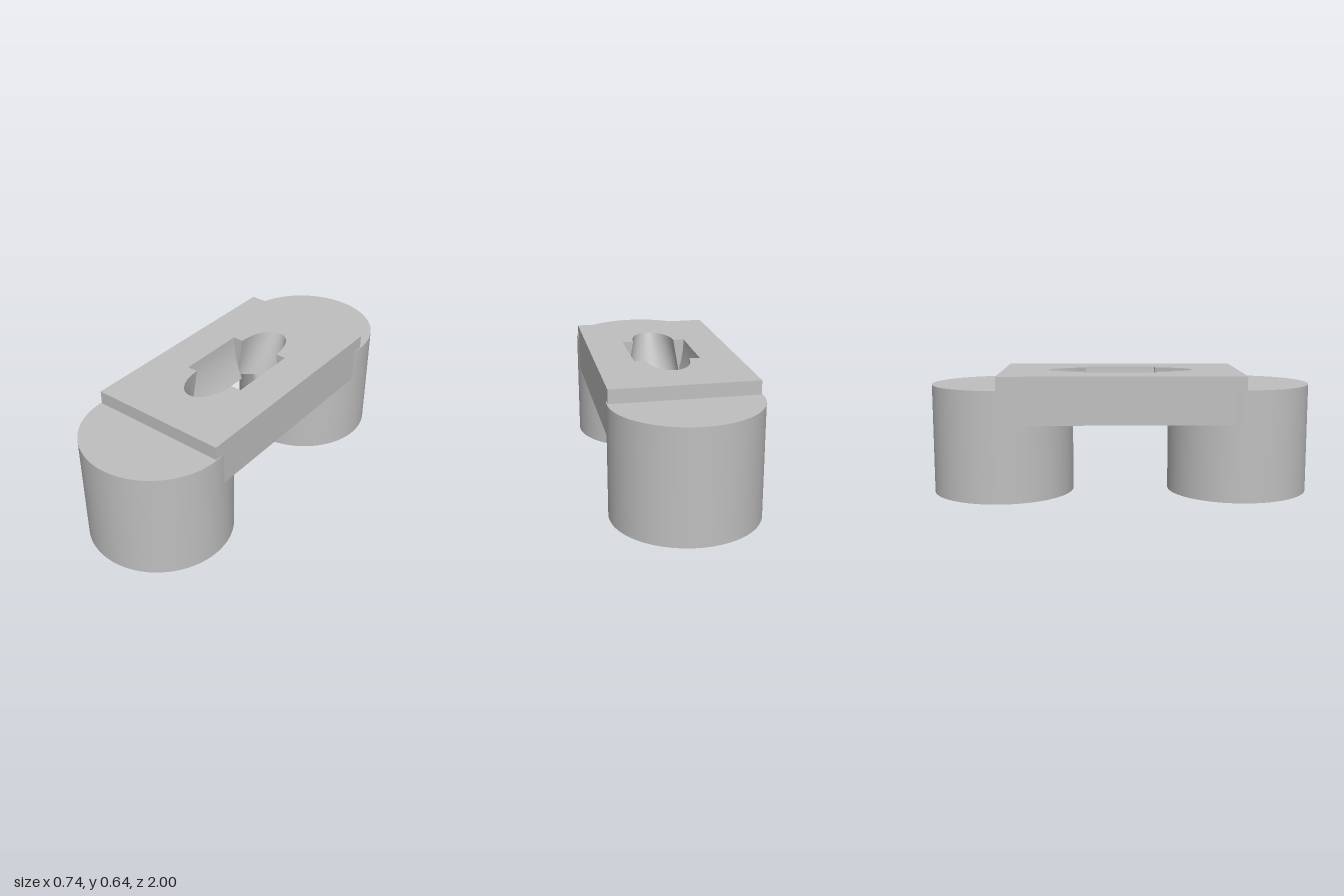
import * as THREE from 'three';
import { toCreasedNormals } from 'three/addons/utils/BufferGeometryUtils.js';

const BASE = 0.4, TOP = 0.645;          // underside and top of the bridge plate
const R = 0.372, CZ = 0.628, TOWER = 0.575;
const POCKET_Z = 0.19;

const mix = (a, b, t) => a + (b - a) * t;

// Skin between rings of [x, z] points stacked at given heights
function loft(rings, heights) {
  const pos = [];
  for (let k = 0; k < rings.length - 1; k++) {
    const lo = rings[k], hi = rings[k + 1], n = lo.length;
    for (let i = 0; i < n; i++) {
      const j = (i + 1) % n;
      const a = [lo[i][0], heights[k], lo[i][1]], b = [lo[j][0], heights[k], lo[j][1]];
      const d = [hi[i][0], heights[k + 1], hi[i][1]], c = [hi[j][0], heights[k + 1], hi[j][1]];
      pos.push(...a, ...d, ...b, ...b, ...d, ...c);
    }
  }
  const g = new THREE.BufferGeometry();
  g.setAttribute('position', new THREE.Float32BufferAttribute(pos, 3));
  return toCreasedNormals(g, 0.5);
}

// Slanted, rounded end of the opening; it moves inward and widens downward
function groove(y) {
  const t = (y - 0.33) / (TOP - 0.33);
  return { end: mix(0.256, 0.38, t), w: mix(0.165, 0.112, t) };
}
function grooveZ(x, y) {
  const { end, w } = groove(y);
  if (Math.abs(x) >= w) return -Infinity;
  return mix(POCKET_Z, end, Math.sqrt(1 - (x / w) ** 2));
}

// Outline of the opening through the plate at one height
function openingRing(y) {
  const t = (TOP - y) / (TOP - BASE);
  const p = 0.17 - 0.055 * t * t;
  const { w, end } = groove(y);
  const half = [[p, -POCKET_Z], [p, POCKET_Z]];
  for (let i = 0; i <= 24; i++) {
    const a = Math.PI * i / 24;
    half.push([w * Math.cos(a), POCKET_Z + (end - POCKET_Z) * Math.sin(a)]);
  }
  return [...half, ...half.map(([x, z]) => [-x, -z])];
}

// Outline of a tower at one height, notched by the groove and trimmed inside the plate
function towerRing(y) {
  const ring = [], n = 192;
  for (let i = 0; i < n; i++) {
    const a = 2 * Math.PI * i / n;
    const x = R * Math.cos(a);
    let z = CZ + R * Math.sin(a);
    if (y > BASE) z = Math.max(z, 0.42);
    else if (y > 0.33 && z < CZ) z = Math.max(z, grooveZ(x, y));
    ring.push([x, z]);
  }
  return ring;
}

const toShape = (ring) => new THREE.Shape(ring.map(([x, z]) => new THREE.Vector2(x, -z)));

export function createModel() {
  const model = new THREE.Group();
  const grey = new THREE.MeshStandardMaterial({ color: 0xbfbfbf });
  grey.name = 'lightGrey';
  const add = (parent, name, geometry) => {
    const mesh = new THREE.Mesh(geometry, grey);
    mesh.name = name;
    parent.add(mesh);
    return mesh;
  };

  // Bridge plate with a shaped opening
  const plate = new THREE.Group();
  plate.name = 'bridgePlate';
  model.add(plate);
  const X = 0.367, Z = 0.625;
  const rect = [[X, -Z], [X, Z], [-X, Z], [-X, -Z]];
  add(plate, 'plateSides', loft([rect, rect], [BASE, TOP]));
  for (const [name, y, dir] of [['plateTop', TOP, -1], ['plateUnderside', BASE, 1]]) {
    const shape = toShape(rect);
    shape.holes.push(toShape(openingRing(y)));
    const face = new THREE.ShapeGeometry(shape);
    face.rotateX(dir * Math.PI / 2).translate(0, y, 0);
    add(plate, name, face);
  }
  const levels = Array.from({ length: 9 }, (_, i) => mix(BASE, TOP, i / 8));
  add(plate, 'openingWalls', loft(levels.map((y) => openingRing(y).reverse()), levels));

  // Round towers with stepped sockets below
  const heights = [0, 0.33, 0.345, 0.36, 0.38, BASE, 0.41, TOWER];
  const side = loft(heights.map(towerRing), heights);
  const cap = new THREE.ShapeGeometry(toShape(towerRing(TOWER)));
  cap.rotateX(-Math.PI / 2).translate(0, TOWER, 0);
  const profile = [[0, 0.5], [0.155, 0.5], [0.155, 0.12], [0.2, 0.12], [0.2, 0.08],
    [0.205, 0.075], [0.205, 0], [R, 0]].map(([r, y]) => new THREE.Vector2(r, y));
  const socket = toCreasedNormals(new THREE.LatheGeometry(profile.reverse(), 64), 0.5);
  // Lathe faces must look down and into the bore
  const p = socket.attributes.position, nrm = socket.attributes.normal;
  let down = 0;
  for (let i = 0; i < p.count; i++) if (p.getY(i) < 0.001) down += nrm.getY(i);
  let bore = socket;
  if (down > 0) {
    bore = toCreasedNormals(new THREE.LatheGeometry(profile.reverse(), 64), 0.5);
  }
  bore.translate(0, 0, CZ);

  for (const [name, turn] of [['frontTower', 0], ['backTower', Math.PI]]) {
    const tower = new THREE.Group();
    tower.name = name;
    tower.rotation.y = turn;
    add(tower, 'towerSide', side);
    add(tower, 'towerTop', cap);
    add(tower, 'towerSocket', bore);
    model.add(tower);
  }
  return model;
}
